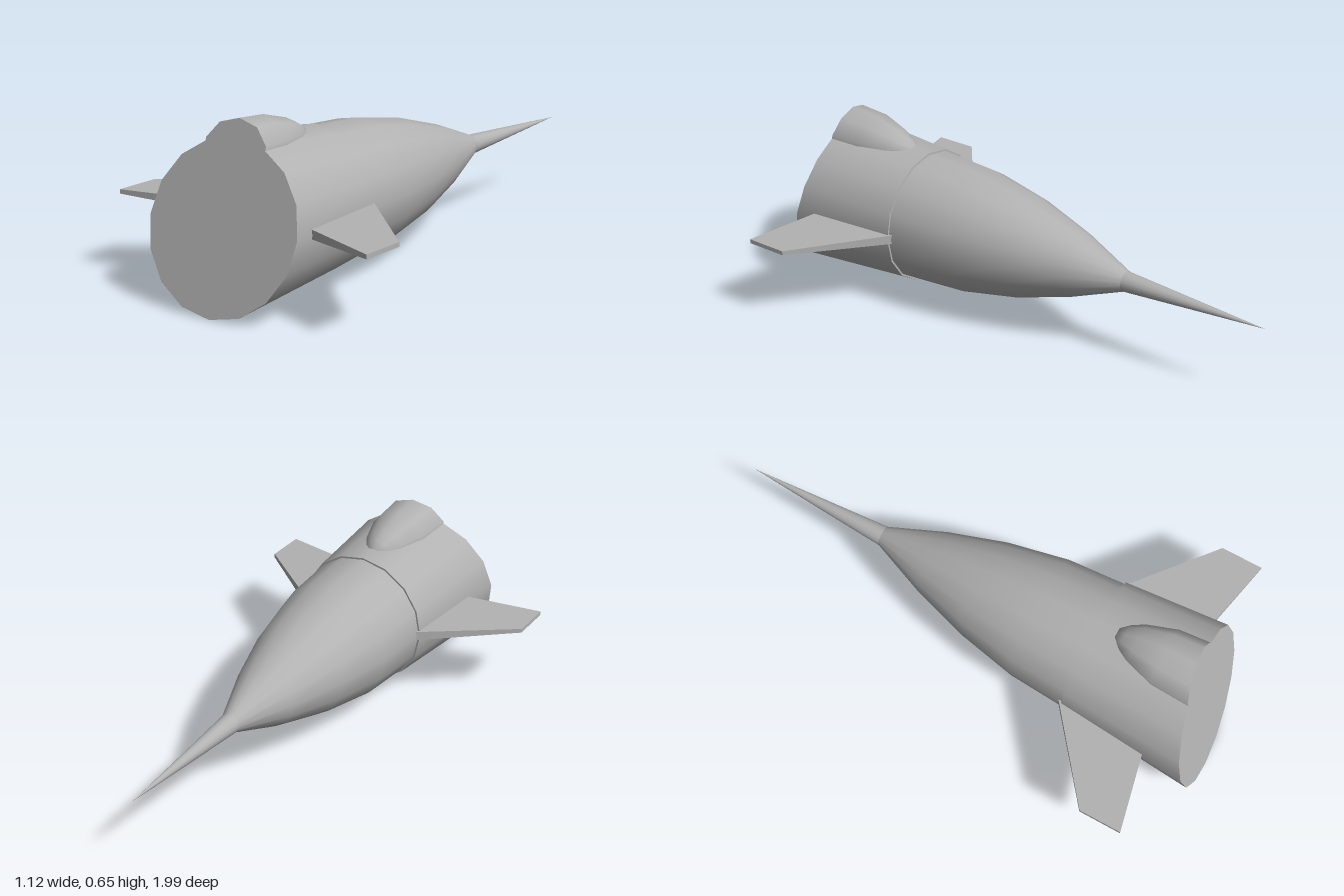
import * as THREE from 'three';

const AXIS_Y = 0.3;
const V2 = (x, y) => new THREE.Vector2(x, y);

// Slanted plane that cuts off the rear end
const cutZ = (x, y) => 0.91 - 0.14 * x - 0.254 * (y - AXIS_Y);

// Turned part along the z axis from [radius, z] pairs, nose first
function turned(profile, sides) {
  return new THREE.LatheGeometry(profile.map(([r, z]) => V2(r, z)), sides).rotateX(Math.PI / 2);
}

// Flat cap on the cutting plane, outlined by the last ring of a turned part
function capFor(geometry, sides) {
  const p = geometry.attributes.position;
  const rows = p.count / (sides + 1);
  const outline = [];
  for (let i = 0; i < sides; i++) {
    const k = i * rows + rows - 1;
    outline.push(V2(p.getX(k), p.getY(k)));
  }
  const cap = new THREE.ShapeGeometry(new THREE.Shape(outline));
  const c = cap.attributes.position;
  for (let i = 0; i < c.count; i++) c.setZ(i, cutZ(c.getX(i), c.getY(i)));
  cap.computeVertexNormals();
  return cap;
}

// Tapered swept fin; side is +1 or -1
function finGeometry(side) {
  const geo = new THREE.BoxGeometry(1, 1, 1).toNonIndexed();
  const p = geo.attributes.position;
  for (let i = 0; i < p.count; i++) {
    const tip = p.getX(i) * side > 0;
    const back = p.getZ(i) > 0;
    const half = tip ? 0.008 : 0.019;
    p.setXYZ(i, side * (tip ? 0.562 : 0.2),
      AXIS_Y + 0.002 + Math.sign(p.getY(i)) * half,
      tip ? (back ? 0.85 : 0.69) : (back ? 0.772 : 0.4));
  }
  geo.computeVertexNormals();
  return geo;
}

export function createModel() {
  const group = new THREE.Group();
  const grey = new THREE.MeshStandardMaterial({ color: 0xb2b2b2, side: THREE.DoubleSide });
  grey.name = 'grey';
  const add = (name, geometry) => {
    const mesh = new THREE.Mesh(geometry, grey);
    mesh.name = name;
    group.add(mesh);
  };

  // Nose spike and curved forebody
  add('noseSpike', turned([[0, -0.99], [0.038, -0.43]], 16).translate(0, AXIS_Y, 0));
  add('forebody', turned([[0.038, -0.43], [0.122, -0.22], [0.19, 0], [0.236, 0.23], [0.25, 0.45]], 16)
    .translate(0, AXIS_Y, 0));

  // Rear hull with a small step in front and a slanted rear cut
  add('hullStep', turned([[0.24, 0.45], [0.257, 0.45]], 16).translate(0, AXIS_Y, 0));
  const hull = turned([[0.257, 0.45], [0.29, 1]], 16).translate(0, AXIS_Y, 0);
  const h = hull.attributes.position;
  for (let i = 0; i < h.count; i++) {
    if (h.getZ(i) < 0.9) continue;
    const angle = Math.atan2(h.getY(i) - AXIS_Y, h.getX(i));
    let r = 0.29, x, y, z;
    for (let n = 0; n < 5; n++) {
      x = r * Math.cos(angle);
      y = AXIS_Y + r * Math.sin(angle);
      z = cutZ(x, y);
      r = 0.257 + 0.08 * (z - 0.45);
    }
    h.setXYZ(i, x, y, z);
  }
  add('hull', hull);
  add('hullRearCap', capFor(hull, 16));

  // Canopy hump on top, cut by the same plane
  const canopy = turned([[0, 0.522], [0.03, 0.526], [0.052, 0.555], [0.078, 0.6], [0.115, 0.71], [0.125, 1]], 10)
    .scale(1, 0.88, 1).translate(0, 0.54, 0);
  const c = canopy.attributes.position;
  for (let i = 0; i < c.count; i++) {
    if (c.getZ(i) > 0.9) c.setZ(i, cutZ(c.getX(i), c.getY(i)));
  }
  add('canopy', canopy);
  add('canopyRearCap', capFor(canopy, 10));

  // Side fins
  add('leftFin', finGeometry(1));
  add('rightFin', finGeometry(-1));
  return group;
}
